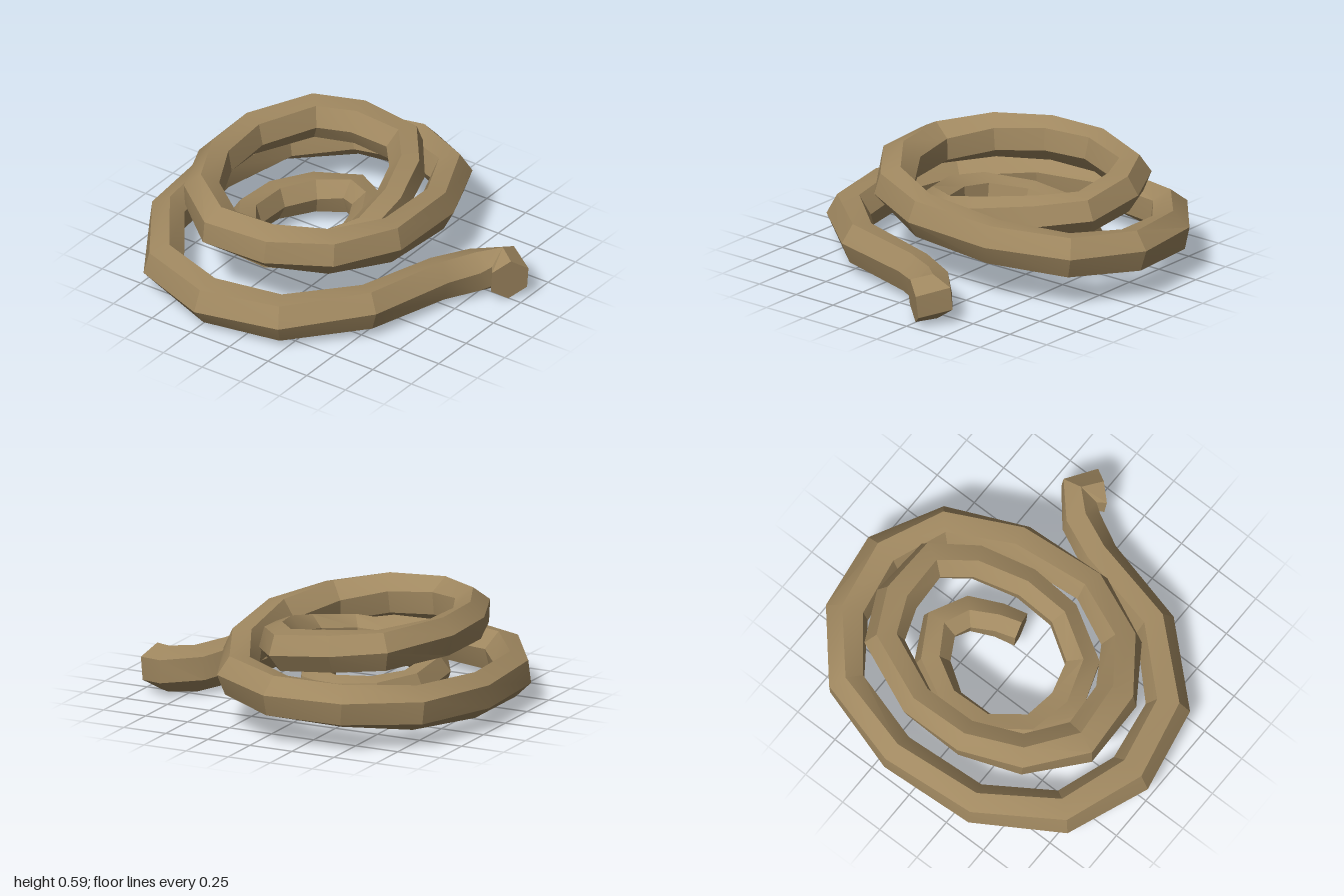
import * as THREE from 'three';
import { toCreasedNormals } from 'three/addons/utils/BufferGeometryUtils.js';

// Centre line of the rope, from the loose outer end to the tucked inner end
const PATH = [
  [0.935, 0.125, -0.24], [0.84, 0.14, -0.315], [0.73, 0.13, -0.21], [0.63, 0.14, -0.01],
  [0.51, 0.16, 0.46], [0.19, 0.15, 0.8], [-0.22, 0.15, 0.875], [-0.615, 0.155, 0.73],
  [-0.87, 0.17, 0.34], [-0.905, 0.185, -0.16], [-0.775, 0.21, -0.6], [-0.47, 0.24, -0.84],
  [-0.1, 0.26, -0.885], [0.22, 0.285, -0.72], [0.385, 0.32, -0.34], [0.405, 0.365, 0.12],
  [0.25, 0.4, 0.44], [-0.01, 0.43, 0.61], [-0.33, 0.44, 0.625], [-0.58, 0.46, 0.43],
  [-0.7, 0.475, 0.14], [-0.7, 0.48, -0.18], [-0.54, 0.475, -0.53], [-0.31, 0.465, -0.63],
  [-0.02, 0.435, -0.63], [0.13, 0.41, -0.44], [0.21, 0.365, -0.17], [0.21, 0.31, 0.08],
  [0.07, 0.27, 0.32], [-0.16, 0.245, 0.39], [-0.37, 0.215, 0.34], [-0.51, 0.18, 0.13],
  [-0.51, 0.16, -0.13], [-0.39, 0.155, -0.33], [-0.2, 0.16, -0.43], [-0.05, 0.16, -0.35],
  [0.02, 0.16, -0.2], [0.05, 0.155, -0.08],
];
const SIDES = 6;
const START_ANGLE = -0.55;
const TWIST = 0.115;

// The rope thins slightly over its inmost coil
const radiusAt = (i) => 0.124 - 0.016 * THREE.MathUtils.smoothstep(i, 16, 31);

// Hexagonal rings along the path, turning slowly, and narrower on the long flanks of the oval
function ropeGeometry() {
  const pts = PATH.map((p) => new THREE.Vector3(...p));
  const pos = [];
  const index = [];
  const last = pts.length - 1;
  const up = new THREE.Vector3(0, 1, 0);
  pts.forEach((p, i) => {
    const before = pts[Math.max(i - 1, 0)];
    const after = pts[Math.min(i + 1, last)];
    const inDir = p.clone().sub(before).normalize();
    const outDir = after.clone().sub(p).normalize();
    const t = inDir.add(outDir).normalize();
    const side = t.clone().cross(up).normalize();
    const top = side.clone().cross(t);
    const r = radiusAt(i);
    const halfWidth = r * (1 - 0.18 * side.x * side.x);
    for (let k = 0; k < SIDES; k++) {
      const a = (k / SIDES) * Math.PI * 2 + START_ANGLE + i * TWIST;
      const v = p.clone()
        .addScaledVector(side, Math.cos(a) * halfWidth)
        .addScaledVector(top, Math.sin(a) * r);
      pos.push(v.x, v.y, v.z);
    }
  });
  for (let i = 0; i < last; i++) {
    for (let k = 0; k < SIDES; k++) {
      const n = (k + 1) % SIDES;
      const a = i * SIDES + k, b = i * SIDES + n;
      const c = a + SIDES, d = b + SIDES;
      index.push(a, c, b, b, c, d);
    }
  }
  // End caps
  const e = last * SIDES;
  for (let k = 1; k < SIDES - 1; k++) {
    index.push(0, k, k + 1, e, e + k + 1, e + k);
  }
  const geo = new THREE.BufferGeometry();
  geo.setAttribute('position', new THREE.Float32BufferAttribute(pos, 3));
  geo.setIndex(index);
  return toCreasedNormals(geo, 0.4);
}

export function createModel() {
  const group = new THREE.Group();
  group.name = 'coiledRope';
  const hemp = new THREE.MeshStandardMaterial({ color: 0xa08860 });
  hemp.name = 'hemp';
  const rope = new THREE.Mesh(ropeGeometry(), hemp);
  rope.name = 'rope';
  group.add(rope);
  return group;
}
